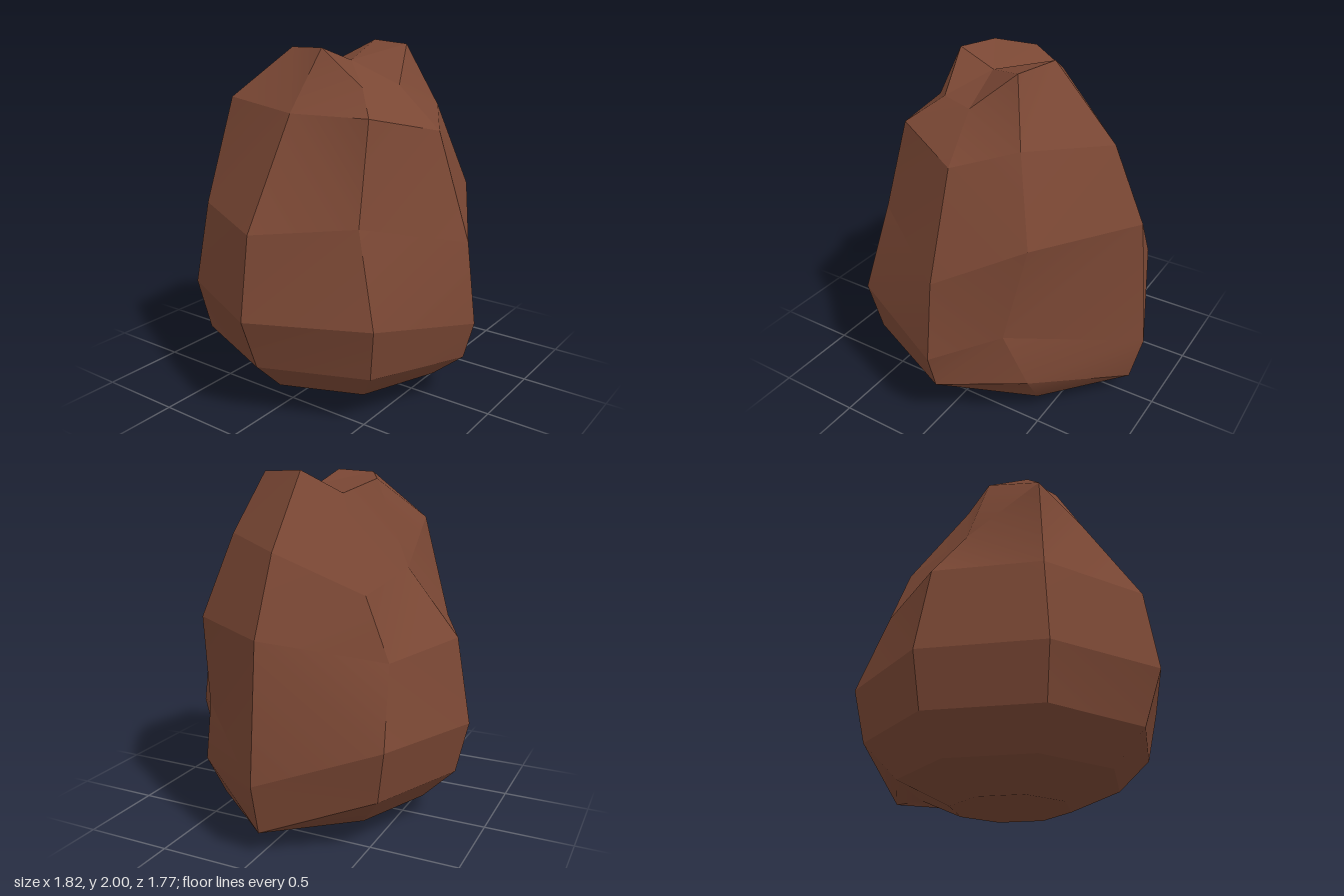
import * as THREE from 'three';

// Regular lower rings: [radius, height]; eight columns run from +x round through +z.
const SIDES = 8, CENTRE_X = 0.02;
const lowerRings = [[0.34, 0], [0.63, 0.13], [0.82, 0.32], [0.89, 0.62]];

// Chipped upper cross-sections, eight corners each, in the same column order.
const shoulderRing = [
  [0.84, 1.18, 0], [0.46, 1.18, 0.57], [0.02, 0.97, 0.82], [-0.53, 1.12, 0.48],
  [-0.84, 1.08, 0], [-0.55, 1.1, -0.57], [0, 1.1, -0.8], [0.47, 1.04, -0.58],
];
const neckRing = [
  [0.65, 1.6, 0], [0.33, 1.65, 0.43], [0.02, 1.56, 0.62], [-0.39, 1.66, 0.44],
  [-0.48, 1.66, 0], [-0.45, 1.71, -0.44], [0, 1.47, -0.5], [0.46, 1.38, -0.44],
];
const crownRing = [
  [0.29, 2, 0.02], [0.22, 1.99, 0.28], [-0.01, 1.79, 0.38], [-0.23, 1.79, 0.29],
  [-0.28, 1.99, 0.06], [-0.22, 1.98, -0.19], [-0.01, 1.95, -0.3], [0.22, 1.88, -0.2],
];

function buildRings() {
  const rings = lowerRings.map(([r, y]) => Array.from({ length: SIDES }, (_, c) => {
    const a = (c / SIDES) * Math.PI * 2;
    return [CENTRE_X + r * Math.cos(a), y, r * Math.sin(a)];
  }));
  // Dents and bulges in the lower body
  rings[2][0] = [0.84, 0.13, 0];
  rings[2][1] = [0.47, 0.32, 0.57];
  rings[2][2] = [0.02, 0.29, 0.82];
  rings[3][0] = [0.91, 0.42, 0];
  rings[3][1] = [0.34, 0.62, 0.62];
  rings[3][2] = [0.02, 0.51, 0.88];
  rings[3][4] = [-0.91, 0.62, 0];
  return [...rings, shoulderRing, neckRing, crownRing]
    .map((ring) => ring.map((p) => new THREE.Vector3(...p)));
}

function buildRock() {
  const rings = buildRings(), positions = [], index = [];
  // Every facet owns its corners, so edges between facets stay crisp.
  const facet = (...corners) => {
    const n = positions.length / 3;
    corners.forEach((p) => positions.push(p.x, p.y, p.z));
    if (corners.length === 3) index.push(n, n + 1, n + 2);
    else if (corners[0].distanceTo(corners[2]) <= corners[1].distanceTo(corners[3])) {
      index.push(n, n + 1, n + 2, n, n + 2, n + 3);
    } else index.push(n, n + 1, n + 3, n + 1, n + 2, n + 3);
  };

  const crownCentre = new THREE.Vector3(-0.05, 1.91, 0.09);
  const baseCentre = new THREE.Vector3(CENTRE_X, 0.03, 0);
  const base = rings[0], crown = rings[rings.length - 1];
  for (let c = 0; c < SIDES; c++) {
    const d = (c + 1) % SIDES;
    for (let r = 0; r < rings.length - 1; r++) {
      facet(rings[r][c], rings[r + 1][c], rings[r + 1][d], rings[r][d]);
    }
    facet(crown[c], crownCentre, crown[d]); // sunken top
    facet(base[c], base[d], baseCentre); // underside
  }

  const geometry = new THREE.BufferGeometry();
  geometry.setAttribute('position', new THREE.Float32BufferAttribute(positions, 3));
  geometry.setIndex(index);
  geometry.computeVertexNormals();
  return geometry;
}

export function createModel() {
  const group = new THREE.Group();
  group.name = 'rock';
  const brown = new THREE.MeshStandardMaterial({ color: 0x7a4734 });
  brown.name = 'reddish brown';
  const body = new THREE.Mesh(buildRock(), brown);
  body.name = 'rockBody';
  group.add(body);
  return group;
}
